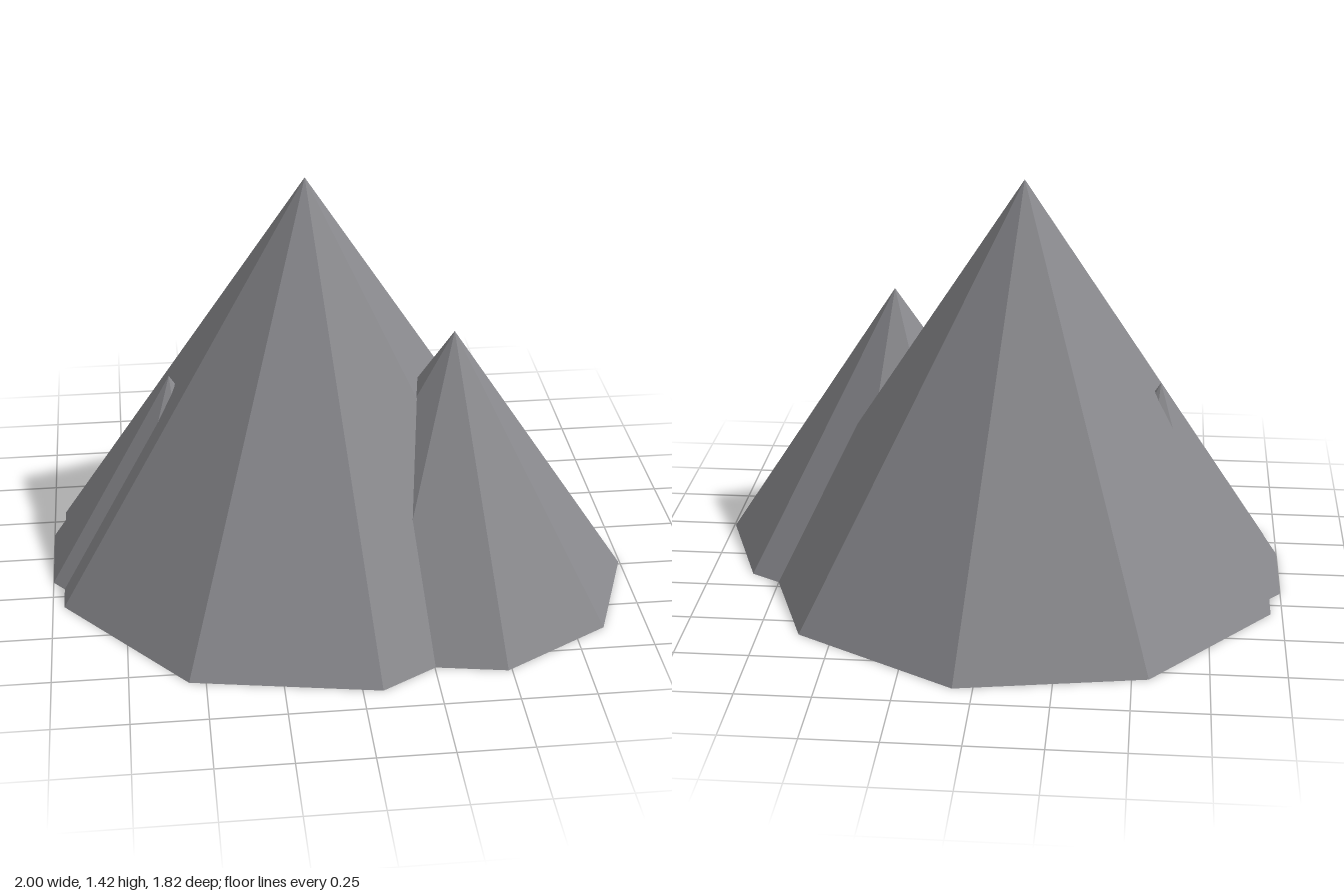
import * as THREE from 'three';

export function createModel() {
  const group = new THREE.Group();
  group.name = 'mountains';

  const rock = new THREE.MeshStandardMaterial({ color: 0x88888c, flatShading: true });
  rock.name = 'rock grey';

  // Nine-sided peak standing on the ground, one corner pointing to +x
  function addPeak(name, x, z, radius, height) {
    const geometry = new THREE.ConeGeometry(radius, height, 9);
    geometry.rotateY(Math.PI / 2);
    geometry.translate(0, height / 2, 0);
    const peak = new THREE.Mesh(geometry, rock);
    peak.name = name;
    peak.position.set(x, 0, z);
    group.add(peak);
  }

  addPeak('mainPeak', -0.094, 0, 0.923, 1.42);
  addPeak('leftPeak', 0.381, 0.237, 0.615, 0.947);
  addPeak('rightPeak', -0.567, 0, 0.461, 0.71);

  return group;
}
